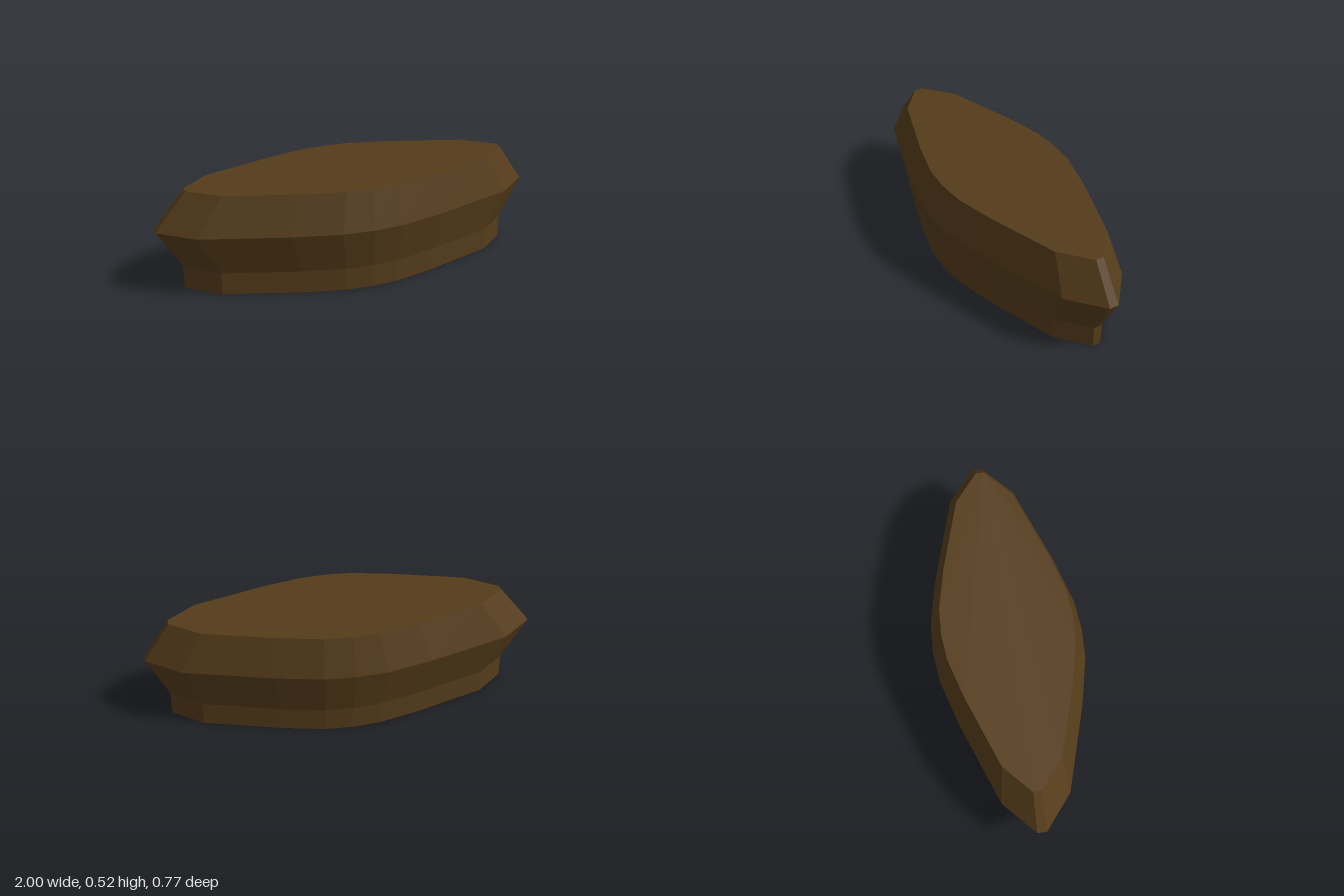
import * as THREE from 'three';

// One end-to-middle quarter of the widest outline, as [x, z]
const quarter = [[1, 0.024], [0.83, 0.17], [0.4, 0.313], [0.16, 0.374]];

// Cross-sections from the floor up: height, x scale, z scale, x shift
const levels = [
  [0, 0.877, 0.88, 0.0125],
  [0.115, 0.877, 0.88, 0.0125],
  [0.325, 1, 1, 0],
  [0.52, 0.855, 0.857, 0.015],
];

function loftedBody() {
  // Mirror the quarter into a closed, pointed oval
  const half = [...quarter, [0, 0.386], ...quarter.map(([x, z]) => [-x, z]).reverse()];
  const outline = [...half, ...half.map(([x, z]) => [-x, -z])];
  const n = outline.length;
  const positions = [];
  const index = [];

  for (const [y, sx, sz, dx] of levels) {
    for (const [x, z] of outline) positions.push(x * sx + dx, y, z * sz);
  }

  // Faceted side walls
  for (let k = 0; k < levels.length - 1; k++) {
    for (let i = 0; i < n; i++) {
      const a = k * n + i;
      const b = k * n + (i + 1) % n;
      index.push(a, a + n, b, b, a + n, b + n);
    }
  }

  // Flat bottom and top
  const top = (levels.length - 1) * n;
  for (let i = 1; i < n - 1; i++) {
    index.push(0, i, i + 1);
    index.push(top, top + i + 1, top + i);
  }

  const indexed = new THREE.BufferGeometry();
  indexed.setAttribute('position', new THREE.Float32BufferAttribute(positions, 3));
  indexed.setIndex(index);
  const geometry = indexed.toNonIndexed();
  geometry.computeVertexNormals();
  return geometry;
}

export function createModel() {
  const group = new THREE.Group();
  const brown = new THREE.MeshStandardMaterial({ color: 0x553c1a, flatShading: true });
  const body = new THREE.Mesh(loftedBody(), brown);
  body.name = 'body';
  group.add(body);
  return group;
}
